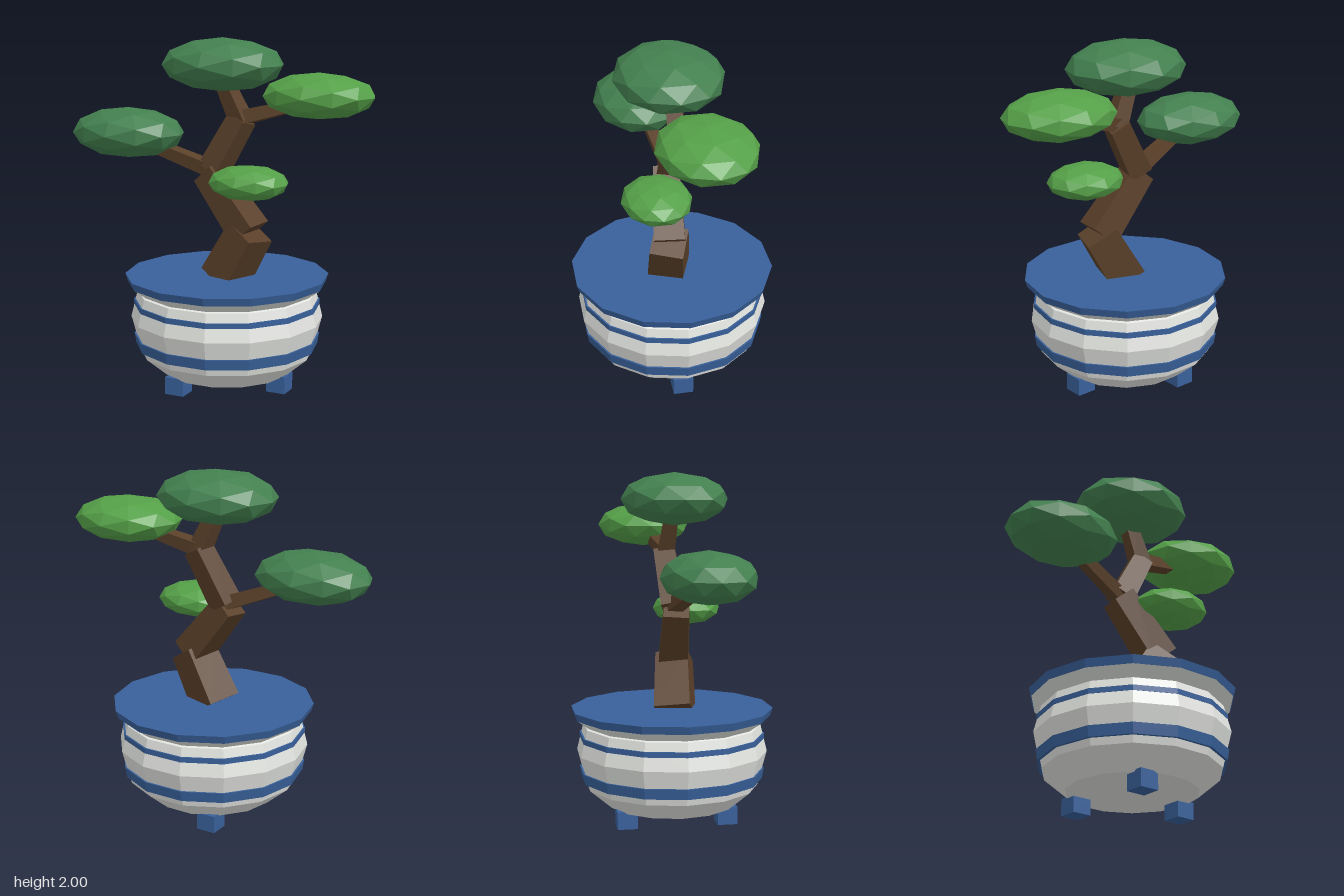
import * as THREE from 'three';

const flat = (name, color) => {
  const m = new THREE.MeshStandardMaterial({ color, flatShading: true });
  m.name = name;
  return m;
};

export function createModel() {
  const blue = flat('blue glaze', 0x38609a);
  const white = flat('white glaze', 0xe2e4e0);
  const bark = flat('bark', 0x5a4029);
  const darkLeaf = flat('dark leaf', 0x43804f);
  const lightLeaf = flat('light leaf', 0x55a048);

  const model = new THREE.Group();
  model.name = 'bonsai';
  const add = (name, geometry, material, parent = model) => {
    const mesh = new THREE.Mesh(geometry, material);
    mesh.name = name;
    parent.add(mesh);
    return mesh;
  };

  // Pot: 14-sided body with a corner pointing along x
  const SIDES = 14;
  const pot = new THREE.Group();
  pot.name = 'pot';
  pot.position.x = 0.043;
  model.add(pot);
  const profile = [[0, 0.09], [0.37, 0.09], [0.5, 0.2], [0.553, 0.4], [0.515, 0.555], [0.5, 0.56], [0.57, 0.61]];
  const body = new THREE.LatheGeometry(profile.map(([r, y]) => new THREE.Vector2(r, y)), SIDES);
  body.rotateY(Math.PI / 2);
  add('potBody', body, white, pot);

  // Painted rings and the rim with its closed top
  const ring = (name, y0, y1, r0, r1) => {
    const g = new THREE.CylinderGeometry(r1, r0, y1 - y0, SIDES);
    g.rotateY(Math.PI / 2);
    g.translate(0, (y0 + y1) / 2, 0);
    add(name, g, blue, pot);
  };
  ring('lowerBand', 0.24, 0.3, 0.527, 0.537);
  ring('upperBand', 0.475, 0.505, 0.537, 0.537);
  ring('rim', 0.61, 0.655, 0.571, 0.585);

  // Three feet
  for (let i = 0; i < 3; i++) {
    const a = (i * Math.PI * 2) / 3;
    add('foot', new THREE.BoxGeometry(0.115, 0.1, 0.115), blue, pot)
      .position.set(Math.cos(a) * 0.333, 0.05, Math.sin(a) * 0.333);
  }

  // Trunk and branches: tapered square limbs from point a to point b
  const limb = (name, a, b, w0, w1, yaw = 0) => {
    const from = new THREE.Vector3(...a), to = new THREE.Vector3(...b);
    const dir = to.clone().sub(from);
    const g = new THREE.CylinderGeometry(w1 * Math.SQRT1_2, w0 * Math.SQRT1_2, dir.length(), 4);
    g.rotateY(Math.PI / 4 + yaw);
    const mesh = add(name, g, bark);
    mesh.position.copy(from).add(to).multiplyScalar(0.5);
    mesh.quaternion.setFromUnitVectors(new THREE.Vector3(0, 1, 0), dir.normalize());
  };
  limb('lowerTrunk', [0.04, 0.63, 0.02], [0.21, 0.922, 0.045], 0.21, 0.19, -0.35);
  limb('middleTrunk', [0.205, 0.915, 0.04], [-0.065, 1.24, 0.01], 0.175, 0.145, -0.2);
  limb('upperTrunk', [-0.045, 1.245, 0.0], [0.125, 1.55, -0.025], 0.135, 0.12, -0.25);
  limb('topBranch', [0.125, 1.53, -0.02], [0.0, 1.8, 0.0], 0.1, 0.075, -0.2);
  limb('leftwardBranch', [-0.04, 1.25, 0.0], [-0.5, 1.42, 0.09], 0.08, 0.06);
  limb('rightwardBranch', [0.13, 1.555, -0.02], [0.52, 1.655, -0.08], 0.08, 0.055);

  // Foliage pads: flattened faceted balls
  const pad = (name, material, centre, radii) => {
    const g = new THREE.IcosahedronGeometry(1, 1);
    g.scale(...radii);
    add(name, g, material).position.set(...centre);
  };
  pad('crownPad', darkLeaf, [0.022, 1.85, 0.013], [0.353, 0.15, 0.307]);
  pad('largeSidePad', darkLeaf, [-0.54, 1.45, 0.1], [0.34, 0.145, 0.263]);
  pad('upperSidePad', lightLeaf, [0.558, 1.688, -0.088], [0.322, 0.128, 0.273]);
  pad('smallFrontPad', lightLeaf, [0.23, 1.213, 0.118], [0.23, 0.098, 0.198]);

  return model;
}
